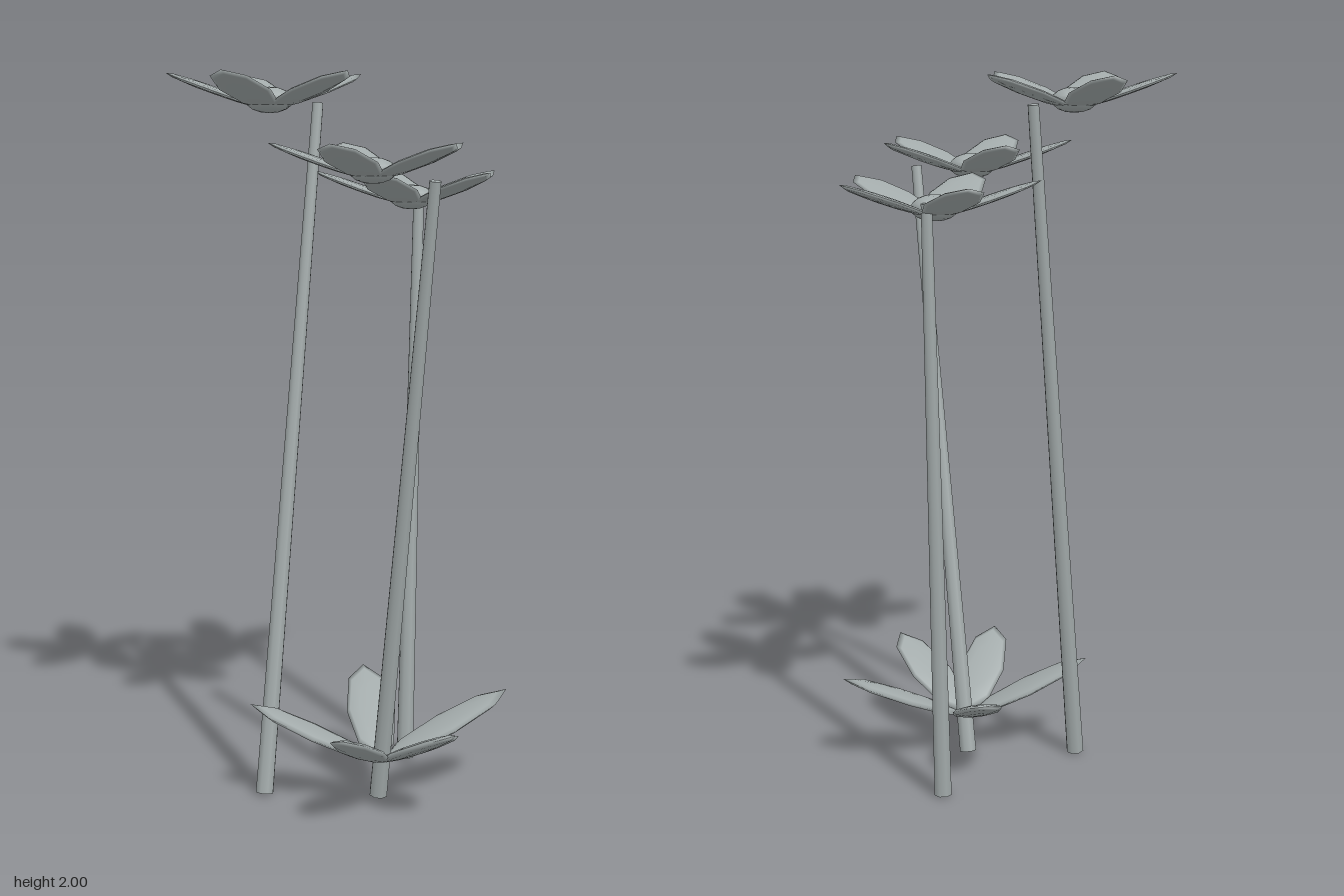
import * as THREE from 'three';

const V = (x, y, z) => new THREE.Vector3(x, y, z);

export function createModel() {
  const model = new THREE.Group();
  const grey = new THREE.MeshStandardMaterial({ color: 0xa3abab });
  grey.name = 'soft grey';

  const bladeGeometry = new THREE.SphereGeometry(1, 8, 6);
  const heartGeometry = new THREE.SphereGeometry(1, 10, 8);

  // Flattened ellipsoid lying between two points, used for petals and leaves
  function blade(name, from, to, halfWidth, halfThickness) {
    const mesh = new THREE.Mesh(bladeGeometry, grey);
    mesh.name = name;
    mesh.position.copy(from).lerp(to, 0.5);
    mesh.lookAt(to);
    mesh.scale.set(halfWidth, halfThickness, from.distanceTo(to) / 2);
    return mesh;
  }

  // Leaning tapered stems
  const stems = [
    [V(-0.175, 0.005, 0.213), V(-0.13, 1.92, -0.065)],
    [V(0.077, 0.005, -0.222), V(0.072, 1.675, -0.322)],
    [V(0.125, 0.005, 0.1), V(0.367, 1.72, 0.322)],
  ];
  for (const [foot, tip] of stems) {
    const length = foot.distanceTo(tip);
    const stem = new THREE.Mesh(new THREE.CylinderGeometry(0.016, 0.026, length, 8), grey);
    stem.name = 'stem';
    stem.position.copy(foot).lerp(tip, 0.5);
    stem.quaternion.setFromUnitVectors(V(0, 1, 0), tip.clone().sub(foot).normalize());
    model.add(stem);
  }

  // Five-petalled flowers: position is the underside of the flower's heart
  const petalAngles = [90, 162, 230, 308, 18];
  const flowers = [V(-0.173, 1.89, 0.155), V(0.12, 1.705, 0.135), V(0.078, 1.623, -0.25)];
  for (const position of flowers) {
    const flower = new THREE.Group();
    flower.name = 'flower';
    flower.position.copy(position);
    for (const degrees of petalAngles) {
      const a = THREE.MathUtils.degToRad(degrees);
      const c = Math.cos(a), s = Math.sin(a);
      flower.add(blade('petal', V(0.01 * c, 0.012, 0.01 * s), V(0.28 * c, 0.107, 0.28 * s), 0.075, 0.01));
    }
    const heart = new THREE.Mesh(heartGeometry, grey);
    heart.name = 'flowerHeart';
    heart.position.y = 0.035;
    heart.scale.set(0.066, 0.035, 0.066);
    flower.add(heart);
    model.add(flower);
  }

  // Rosette of leaves near the foot of one stem
  const rosette = new THREE.Group();
  rosette.name = 'leafRosette';
  rosette.position.set(0.137, 0.112, 0.12);
  const leafTips = [[0.28, -0.265], [0.29, 0.18], [0.035, 0.34], [-0.325, 0.15], [-0.19, -0.33]];
  for (const [x, z] of leafTips) {
    rosette.add(blade('leaf', V(x * 0.03, 0, z * 0.03), V(x, 0.165, z), 0.07, 0.015));
  }
  model.add(rosette);

  return model;
}
